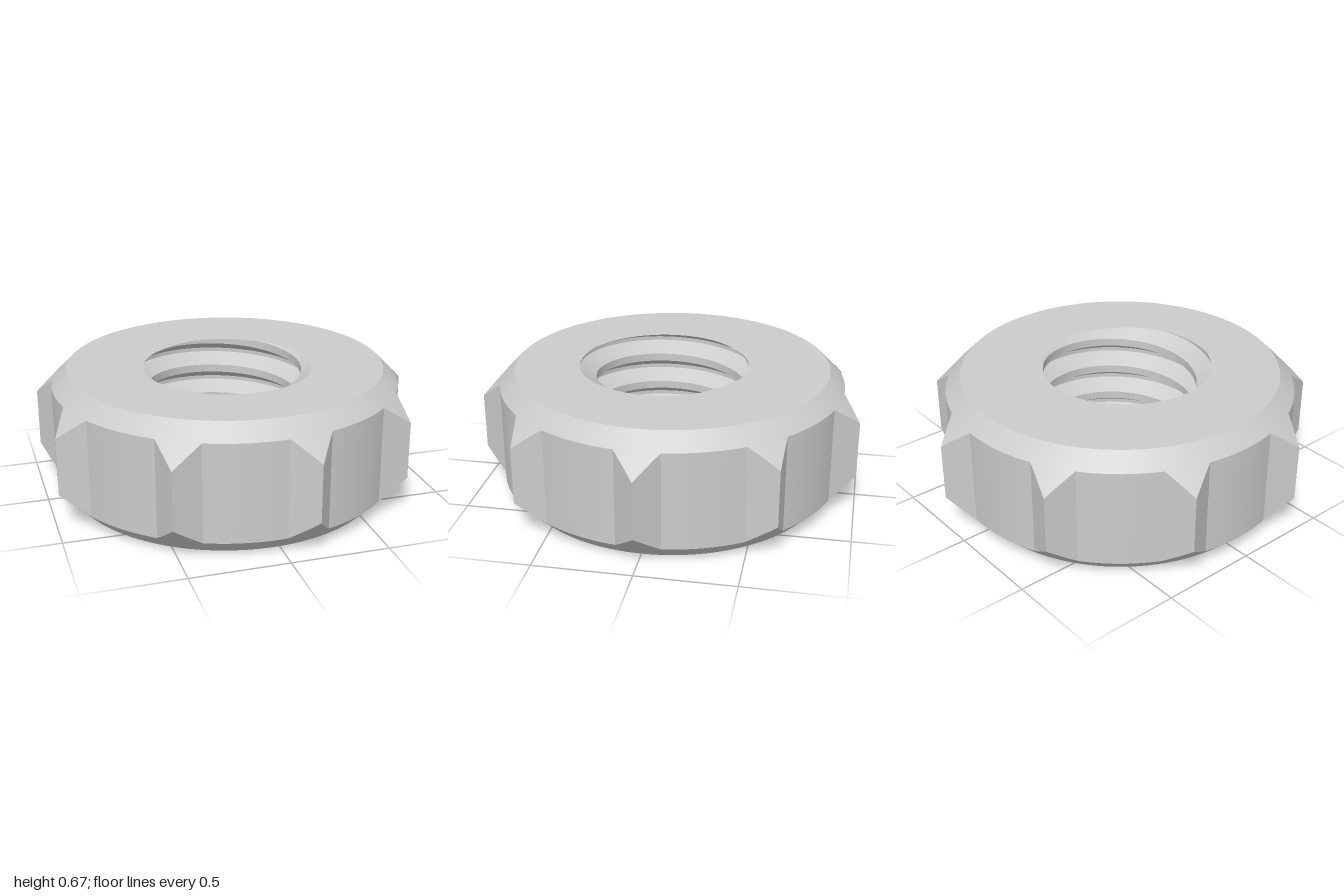
import * as THREE from 'three';
import { toCreasedNormals } from 'three/addons/utils/BufferGeometryUtils.js';

const H = 0.67, FACE_R = 0.83, BODY_R = 0.91, TIP_R = 1.0154;
const TEETH = 9, TOOTH_HALF = THREE.MathUtils.degToRad(7.1);
const MINOR_R = 0.403, MAJOR_R = 0.49, TURNS = 4, PITCH = H / TURNS;

// Column angles: each sector holds one pointed tooth and a stretch of round body
function columnAngles() {
  const sector = 2 * Math.PI / TEETH, angles = [];
  for (let t = 0; t < TEETH; t++) {
    for (let i = -4; i < 4; i++) angles.push(t * sector + TOOTH_HALF * i / 4);
    for (let i = 0; i < 13; i++) angles.push(t * sector + TOOTH_HALF + (sector - 2 * TOOTH_HALF) * i / 13);
  }
  angles.push(angles[0] + 2 * Math.PI);
  return angles;
}

// Outline radius: straight tooth flanks rising from the round body
function outlineRadius(a) {
  const sector = 2 * Math.PI / TEETH;
  const d = Math.abs(a - Math.round(a / sector) * sector);
  if (d >= TOOTH_HALF - 1e-6) return BODY_R;
  const bx = BODY_R * Math.cos(TOOTH_HALF), by = BODY_R * Math.sin(TOOTH_HALF);
  return TIP_R * by / (by * Math.cos(d) + (TIP_R - bx) * Math.sin(d));
}

// Groove phase in pitches: a groove meets both end faces at the front
const phase = (a) => (a + Math.PI / 2) / (2 * Math.PI);

function threadRadius(a, y) {
  const v = y / PITCH - phase(a);
  const u = Math.abs(v - Math.round(v));
  return MINOR_R + (MAJOR_R - MINOR_R) * THREE.MathUtils.clamp((3 / 8 - u) / (5 / 16), 0, 1);
}

// Cross-section of the nut without its bore, from bottom hole edge to top hole edge
function bodySection(a) {
  const r = outlineRadius(a), c = r - FACE_R;
  return [[threadRadius(a, 0), 0], [FACE_R, 0], [r, c], [r, H - c], [FACE_R, H], [threadRadius(a, H), H]];
}

// Cross-section of the bore, top to bottom, its corners following the helix
function threadSection(a) {
  const pts = [[threadRadius(a, H), H]];
  for (let k = TURNS + 1; k >= -2; k--) {
    for (const f of [3 / 8, 1 / 16, -1 / 16, -3 / 8]) {
      const y = THREE.MathUtils.clamp(PITCH * (phase(a) + k + f), 0, H);
      pts.push([threadRadius(a, y), y]);
    }
  }
  pts.push([threadRadius(a, 0), 0]);
  return pts;
}

// Skins neighbouring cross-sections around the y axis, skipping collapsed triangles
function loft(section) {
  const cols = columnAngles().map((a) => section(a).map(([r, y]) =>
    new THREE.Vector3(r * Math.cos(a), y, -r * Math.sin(a))));
  const pos = [], tri = new THREE.Triangle();
  const add = (a, b, c) => {
    if (tri.set(a, b, c).getArea() > 1e-9) for (const p of [a, b, c]) pos.push(p.x, p.y, p.z);
  };
  for (let i = 0; i < cols.length - 1; i++) {
    const p = cols[i], q = cols[i + 1];
    for (let j = 0; j < p.length - 1; j++) {
      add(p[j], q[j], q[j + 1]);
      add(p[j], q[j + 1], p[j + 1]);
    }
  }
  const geo = new THREE.BufferGeometry();
  geo.setAttribute('position', new THREE.Float32BufferAttribute(pos, 3));
  return toCreasedNormals(geo, 0.45);
}

export function createModel() {
  const group = new THREE.Group();
  group.name = 'knurledNut';
  const material = new THREE.MeshStandardMaterial({ color: 0xcccccc });
  for (const [name, section] of [['toothedBody', bodySection], ['internalThread', threadSection]]) {
    const mesh = new THREE.Mesh(loft(section), material);
    mesh.name = name;
    mesh.position.x = -0.0306; // the odd tooth count puts the axis off centre
    group.add(mesh);
  }
  return group;
}
